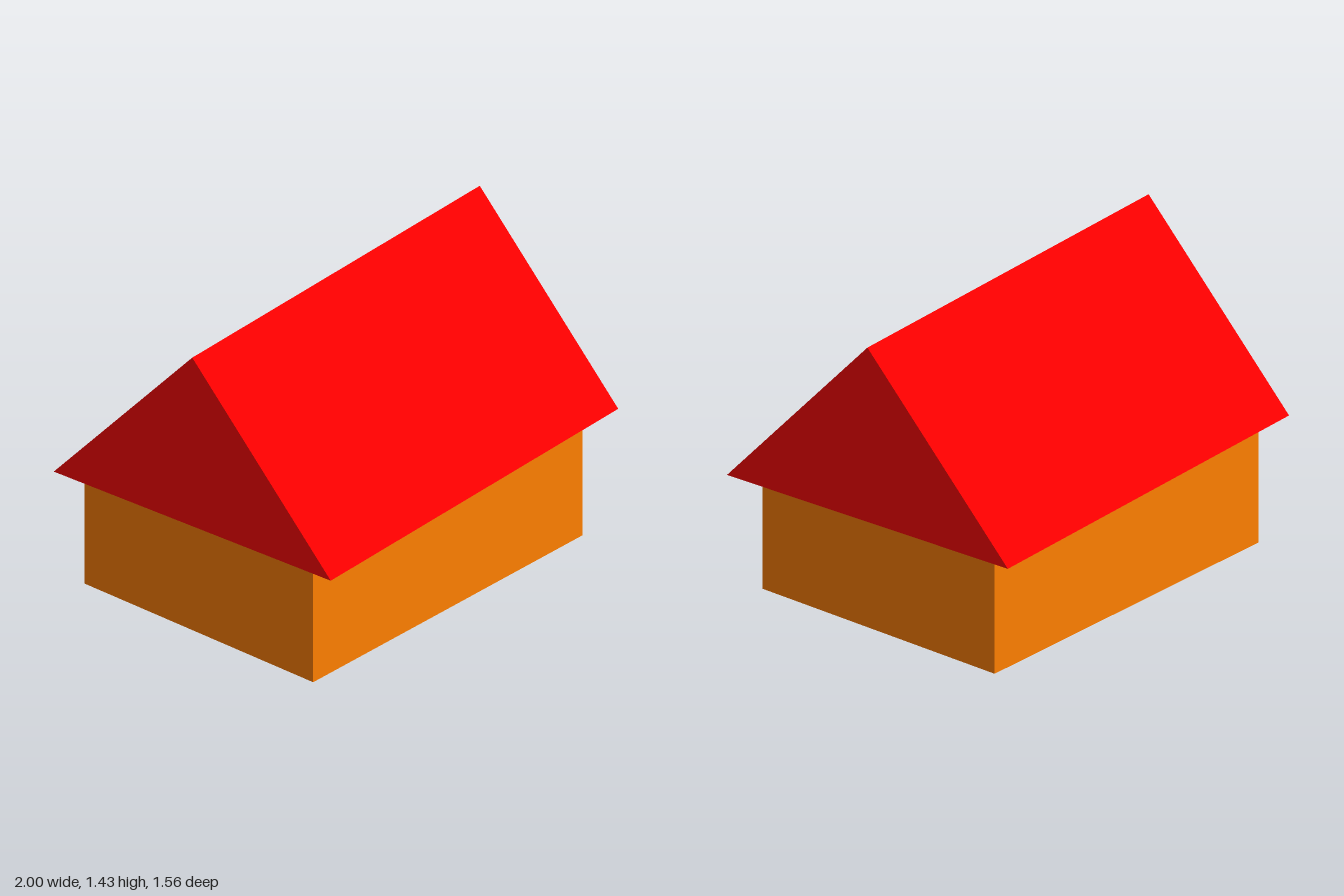
import * as THREE from 'three';

const WALL_HEIGHT = 0.585;
const ROOF_BASE = 0.59;
const ROOF_TOP = 1.435;

// Four upright sheets around a rectangle, open above and below
function createWallRing(name, width, depth, material) {
  const ring = new THREE.Group();
  ring.name = name;
  const sides = [
    ['Front', width, 0, depth / 2, 0],
    ['Left', depth, width / 2, 0, Math.PI / 2],
    ['Back', width, 0, -depth / 2, Math.PI],
    ['Right', depth, -width / 2, 0, -Math.PI / 2],
  ];
  for (const [side, length, x, z, turn] of sides) {
    const wall = new THREE.Mesh(new THREE.PlaneGeometry(length, WALL_HEIGHT), material);
    wall.name = name + side;
    wall.position.set(x, WALL_HEIGHT / 2, z);
    wall.rotation.y = turn;
    ring.add(wall);
  }
  return ring;
}

export function createModel() {
  const model = new THREE.Group();
  model.name = 'house';
  const orange = new THREE.MeshStandardMaterial({ color: 0xff8000, side: THREE.DoubleSide });
  const red = new THREE.MeshStandardMaterial({ color: 0xff0000 });

  // Outer and inner walls, turned slightly under the roof
  const walls = new THREE.Group();
  walls.name = 'walls';
  walls.add(
    createWallRing('outerWall', 1.777, 1.342, orange),
    createWallRing('innerWall', 1.333, 0.898, orange),
  );
  walls.position.x = -0.0175;
  walls.rotation.y = -0.045;
  model.add(walls);

  // Gabled roof: a closed triangular prism along x
  const gable = new THREE.Shape([
    new THREE.Vector2(-0.782, ROOF_BASE),
    new THREE.Vector2(0.782, ROOF_BASE),
    new THREE.Vector2(0, ROOF_TOP),
  ]);
  const roofGeometry = new THREE.ExtrudeGeometry(gable, { depth: 2, bevelEnabled: false });
  roofGeometry.translate(0, 0, -1).rotateY(Math.PI / 2);
  const roof = new THREE.Mesh(roofGeometry, red);
  roof.name = 'roof';
  model.add(roof);

  return model;
}
